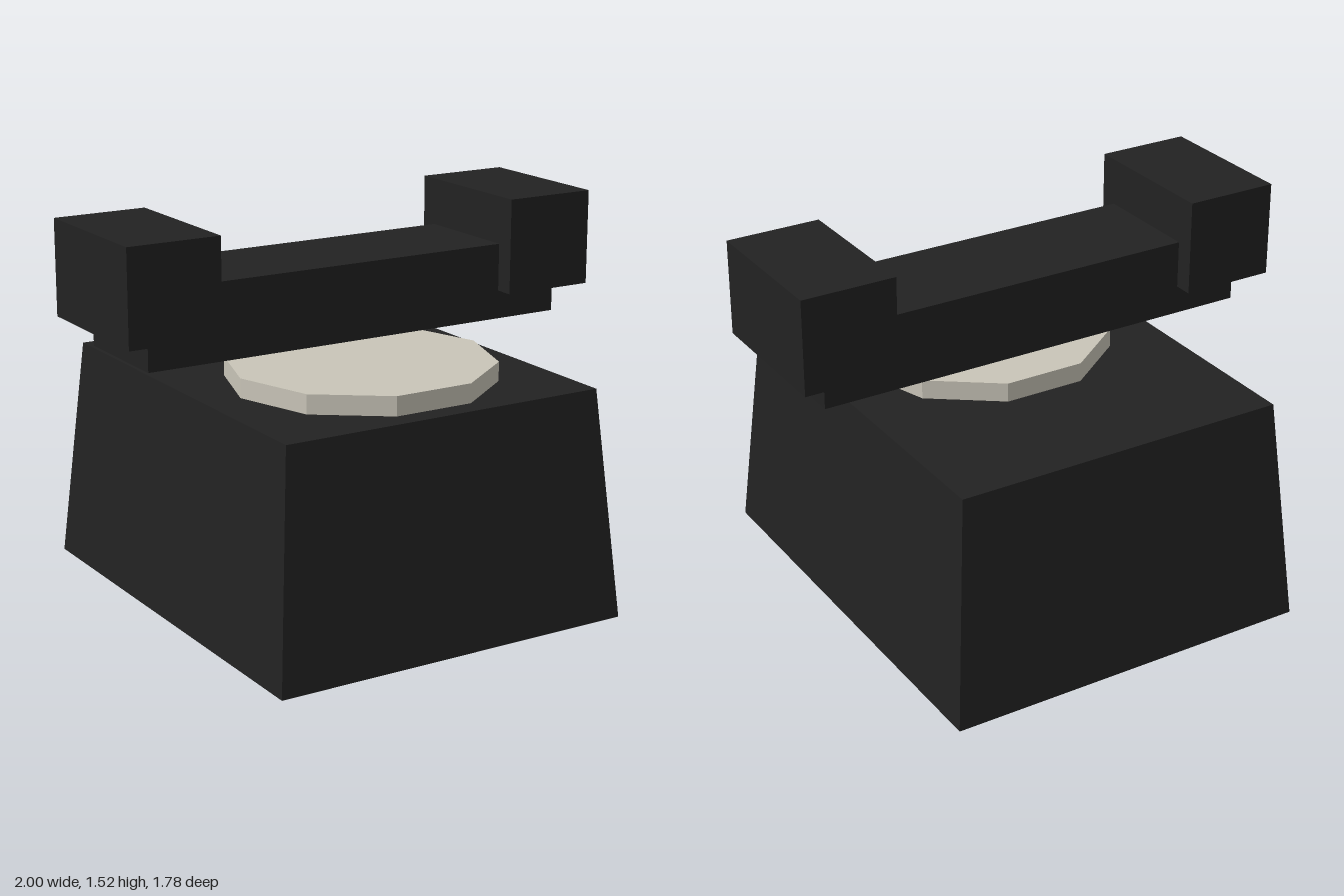
import * as THREE from 'three';

export function createModel() {
  const model = new THREE.Group();
  model.name = 'deskTelephone';

  const black = new THREE.MeshStandardMaterial({ color: 0x222222 });
  black.name = 'black';
  const ivory = new THREE.MeshStandardMaterial({ color: 0xc9c5b8 });
  ivory.name = 'ivory';

  function add(parent, name, geometry, material, x, y, z) {
    const mesh = new THREE.Mesh(geometry, material);
    mesh.name = name;
    mesh.position.set(x, y, z);
    parent.add(mesh);
    return mesh;
  }

  // Body: a box whose top is narrowed
  const bodyHeight = 0.89;
  const bodyGeometry = new THREE.BoxGeometry(1.48, bodyHeight, 1.78);
  const p = bodyGeometry.attributes.position;
  for (let i = 0; i < p.count; i++) {
    if (p.getY(i) > 0) {
      p.setX(i, p.getX(i) * 0.9);
      p.setZ(i, p.getZ(i) * 0.9);
    }
  }
  bodyGeometry.computeVertexNormals();
  add(model, 'body', bodyGeometry, black, 0, bodyHeight / 2, 0);

  // Dial: ten-sided disc with corners on the x axis
  const dialHeight = 0.075;
  const dialGeometry = new THREE.CylinderGeometry(0.518, 0.518, dialHeight, 10).toNonIndexed();
  dialGeometry.computeVertexNormals();
  const dial = add(model, 'dial', dialGeometry, ivory, 0, bodyHeight + dialHeight / 2, 0.222);
  dial.rotation.y = Math.PI / 10;

  // Handset: grip bar with an earpiece and a mouthpiece
  const handset = new THREE.Group();
  handset.name = 'handset';
  model.add(handset);
  add(handset, 'grip', new THREE.BoxGeometry(1.78, 0.296, 0.444), black, 0, 1.187, 0);
  for (const [name, side] of [['earpiece', 1], ['mouthpiece', -1]]) {
    add(handset, name, new THREE.BoxGeometry(0.37, 0.37, 0.592), black, side * 0.815, 1.335, 0);
  }

  return model;
}
